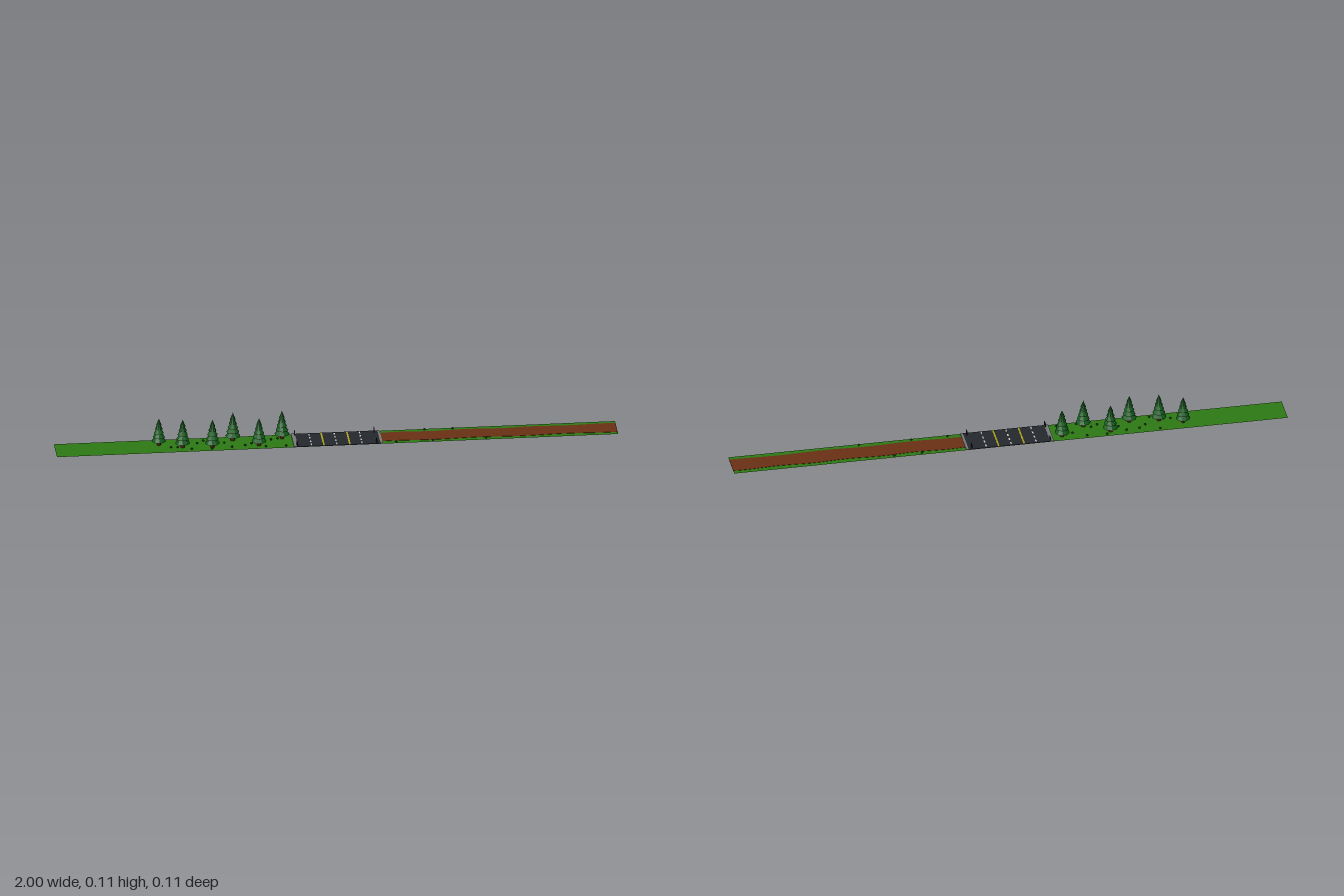
import * as THREE from 'three';

const GROUND = 0.003, HALF = 0.057;
const mat = (color, flatShading = false) => {
  const m = new THREE.MeshStandardMaterial({ color, side: THREE.DoubleSide });
  m.flatShading = flatShading;
  return m;
};
const M = {
  grass: mat(0x2d7a14), dirt: mat(0x6a3014), asphalt: mat(0x24282c),
  kerb: mat(0x77797b), white: mat(0xe0e0e0), yellow: mat(0xa8a020),
  leaf: mat(0x145a1c, true), trunk: mat(0x5a2c14, true),
  bush: mat(0x1c4a14, true), rail: mat(0x2c2e30),
};

export function createModel() {
  const root = new THREE.Group();

  function add(name, geo, material, x = 0, y = 0, z = 0, parent = root) {
    const mesh = new THREE.Mesh(geo, material);
    mesh.name = name;
    mesh.position.set(x, y, z);
    parent.add(mesh);
    return mesh;
  }
  const box = (name, w, h, d, m, x, y, z, parent) =>
    add(name, new THREE.BoxGeometry(w, h, d), m, x, y, z, parent);

  // Long grass strip
  add('grass', new THREE.PlaneGeometry(2, HALF * 2).rotateX(-Math.PI / 2), M.grass, 0, GROUND, 0);

  // Dirt track with gently wandering edges
  const track = new THREE.Shape();
  const n = 24;
  const trackX = i => 0.16 + 0.84 * i / n;
  track.moveTo(trackX(0), 0.036);
  for (let i = 1; i <= n; i++) track.lineTo(trackX(i), 0.037 + 0.0025 * Math.sin(i * 0.9));
  for (let i = n; i >= 0; i--) track.lineTo(trackX(i), -0.037 + 0.0025 * Math.sin(i * 0.7 + 1));
  const trackGeo = new THREE.ExtrudeGeometry(track, { depth: 0.002, bevelEnabled: false });
  add('dirtTrack', trackGeo.rotateX(-Math.PI / 2), M.dirt, 0, GROUND - 0.001, 0);

  // Road crossing the strip, with kerbs and lane markings
  const road = new THREE.Group();
  road.name = 'road';
  root.add(road);
  box('asphalt', 0.3, 0.002, HALF * 2, M.asphalt, 0.005, GROUND + 0.001, 0, road);
  box('kerb', 0.014, 0.003, HALF * 2, M.kerb, -0.148, GROUND + 0.0015, 0, road);
  box('kerb', 0.008, 0.003, HALF * 2, M.kerb, 0.157, GROUND + 0.0015, 0, road);
  for (const x of [-0.048, 0.044])
    box('yellowLine', 0.006, 0.0006, HALF * 2, M.yellow, x, GROUND + 0.0022, 0, road);
  for (const x of [-0.092, -0.002, 0.088])
    for (let k = -1.5; k <= 1.5; k++)
      box('laneDash', 0.005, 0.0006, 0.014, M.white, x, GROUND + 0.0022, k * 0.029, road);

  // Low roadside railings
  function railing(x, z0, z1, posts) {
    const g = new THREE.Group();
    g.name = 'railing';
    root.add(g);
    for (const y of [0.008, 0.018])
      box('rail', 0.0015, 0.002, z1 - z0, M.rail, x, y, (z0 + z1) / 2, g);
    for (let i = 0; i < posts; i++)
      box('post', 0.0025, 0.018, 0.0025, M.rail, x, 0.012, z0 + (z1 - z0) * i / (posts - 1), g);
  }
  for (const s of [-1, 1]) {
    for (const x of [-0.143, 0.14]) {
      const z = s * 0.048;
      railing(x, z - 0.007, z + 0.007, 3);
    }
  }

  // Conifers: trunk and five overlapping tiers
  const tiers = 5;
  function tree(x, z, scale, turn) {
    const g = new THREE.Group();
    g.name = 'tree';
    g.position.set(x, 0, z);
    g.scale.setScalar(scale);
    g.rotation.y = turn;
    root.add(g);
    add('trunk', new THREE.CylinderGeometry(0.006, 0.008, 0.024, 8), M.trunk, 0, 0.012, 0, g);
    for (let i = 0; i < tiers; i++) {
      const h = 0.034 - i * 0.002;
      const tier = add('foliage', new THREE.ConeGeometry(0.027 - i * 0.0042, h, 9), M.leaf,
        0, 0.02 + i * 0.0158 + h / 2, 0, g);
      tier.rotation.y = i * 0.6;
    }
  }
  [[-0.63, -0.013, 0.96], [-0.548, 0.015, 1], [-0.443, 0.026, 1],
    [-0.365, -0.027, 1.01], [-0.277, 0.026, 0.99], [-0.19, -0.027, 1]]
    .forEach(([x, z, s], i) => tree(x, z, s, i * 1.3));

  // Small bushes scattered in the grass
  const bushGeo = new THREE.IcosahedronGeometry(0.0045, 0);
  const bush = (x, z) => add('bush', bushGeo, M.bush, x, GROUND + 0.003, z);
  for (let i = 0; i < 18; i++) bush(-0.59 + i * 0.024, 0.046 * Math.sin(i * 2.3 + 0.4));
  [0.21, 0.32, 0.34, 0.42, 0.53].forEach((x, i) => bush(x, i % 2 ? -0.048 : 0.048));

  return root;
}
